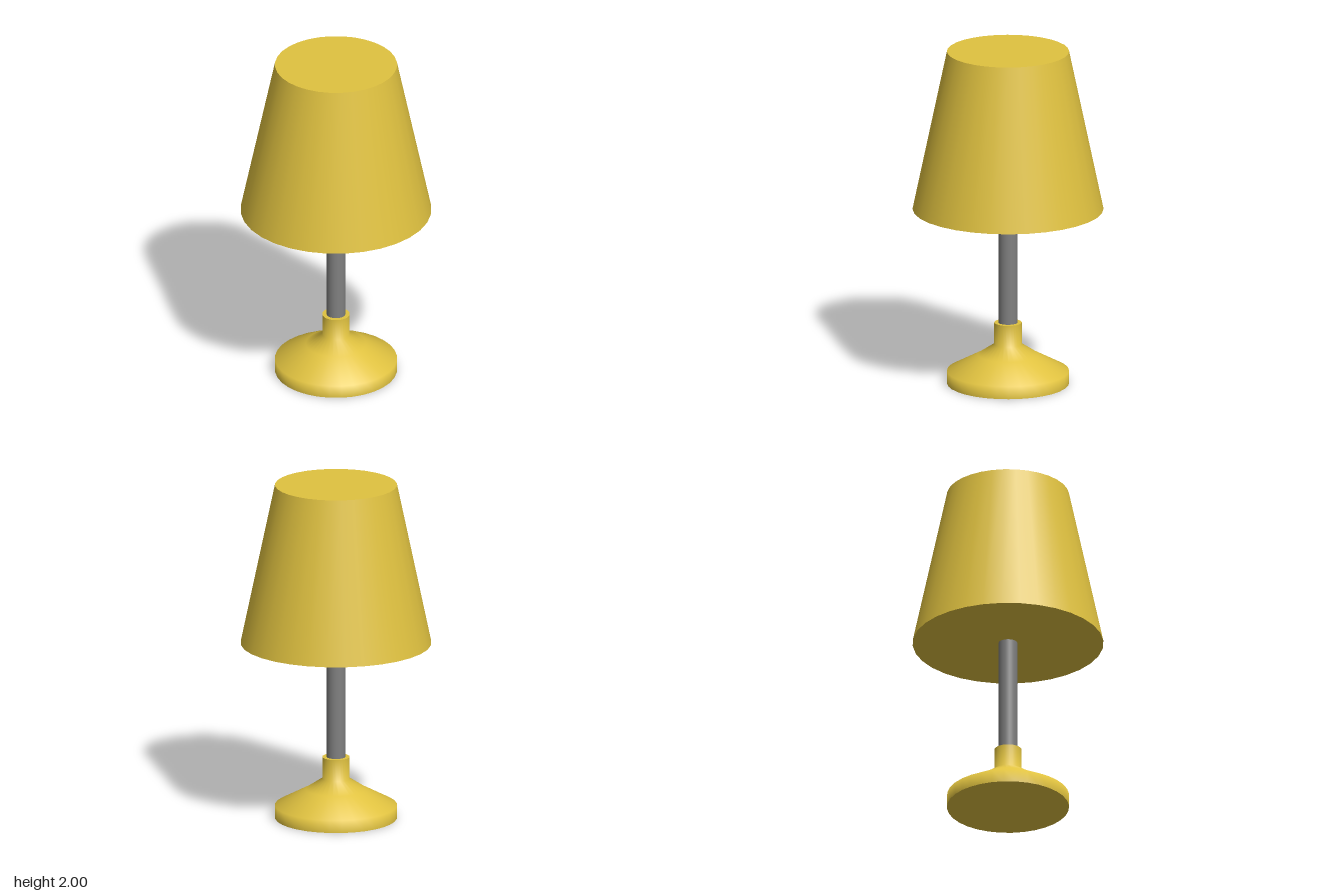
import * as THREE from 'three';

const SIDES = 32;

export function createModel() {
  const lamp = new THREE.Group();
  lamp.name = 'tableLamp';

  const gold = new THREE.MeshStandardMaterial({ color: 0xe0c240 });
  gold.name = 'gold';
  const grey = new THREE.MeshStandardMaterial({ color: 0x808080 });
  grey.name = 'grey';

  const add = (name, geometry, material, y = 0, parent = lamp) => {
    const mesh = new THREE.Mesh(geometry, material);
    mesh.name = name;
    mesh.position.y = y;
    parent.add(mesh);
    return mesh;
  };

  // Foot: smooth turned body with a collar, closed by flat faces
  const foot = new THREE.Group();
  foot.name = 'foot';
  lamp.add(foot);
  const profile = [
    [0.355, 0], [0.355, 0.075], [0.175, 0.172], [0.08, 0.235], [0.08, 0.365],
  ].map(([r, y]) => new THREE.Vector2(r, y));
  add('footBody', new THREE.LatheGeometry(profile, SIDES), gold, 0, foot);
  add('footBottom', new THREE.CircleGeometry(0.355, SIDES).rotateX(Math.PI / 2), gold, 0, foot);
  add('collarTop', new THREE.CircleGeometry(0.08, SIDES).rotateX(-Math.PI / 2), gold, 0.365, foot);

  // Stem, from the collar up to the underside of the shade
  add('stem', new THREE.CylinderGeometry(0.055, 0.055, 0.72, SIDES), grey, 0.71);

  // Closed tapering shade
  add('shade', new THREE.CylinderGeometry(0.355, 0.555, 0.95, SIDES), gold, 1.525);

  return lamp;
}
